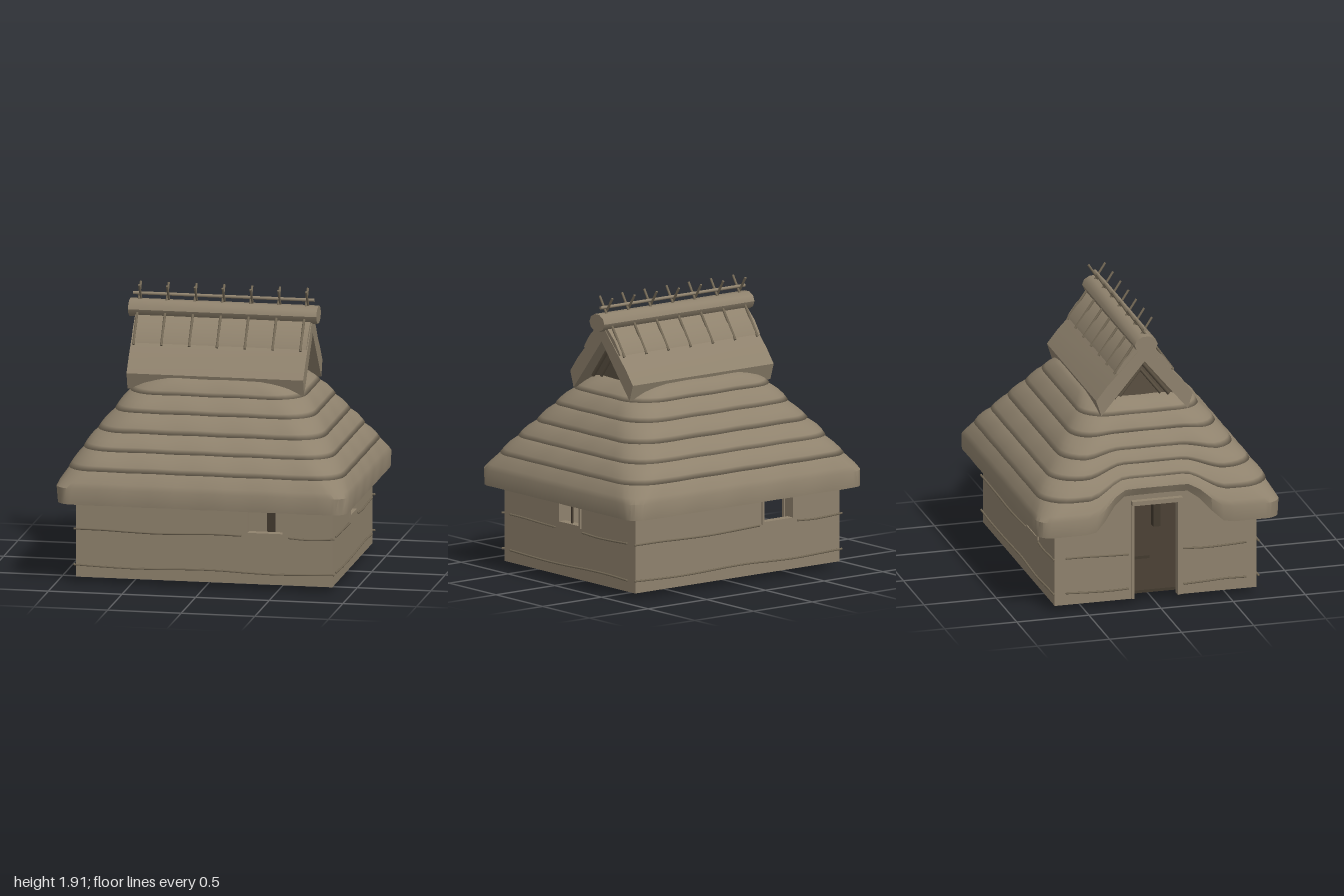
import * as THREE from 'three';
import { toCreasedNormals } from 'three/addons/utils/BufferGeometryUtils.js';

function material(name, color) {
  const m = new THREE.MeshStandardMaterial({ color, side: THREE.DoubleSide });
  m.name = name;
  return m;
}
const straw = material('weathered straw brown', 0x8f826d);
const pole = material('aged pole brown', 0x756a57);
const shade = material('smoky gable brown', 0x5a5041);
const dark = material('dark timber', 0x433a2f);

function add(parent, geometry, name, x = 0, y = 0, z = 0, mat = straw) {
  const mesh = new THREE.Mesh(geometry, mat);
  mesh.name = name;
  mesh.position.set(x, y, z);
  parent.add(mesh);
  return mesh;
}

const box = (parent, name, w, h, d, x, y, z, mat) => add(parent, new THREE.BoxGeometry(w, h, d), name, x, y, z, mat);

// Straight round stick between two points
function stick(parent, name, a, b, r, mat) {
  const from = new THREE.Vector3(...a), to = new THREE.Vector3(...b);
  const dir = to.clone().sub(from);
  const mesh = add(parent, new THREE.CylinderGeometry(r, r, dir.length(), 8), name, 0, 0, 0, mat);
  mesh.position.copy(from).add(to).multiplyScalar(0.5);
  mesh.quaternion.setFromUnitVectors(new THREE.Vector3(0, 1, 0), dir.normalize());
}

// Slightly crooked horizontal pole along local x
function rail(parent, x0, x1, y, z, seed) {
  const points = [];
  const n = Math.max(3, Math.round((x1 - x0) / 0.2));
  for (let i = 0; i <= n; i++) {
    points.push(new THREE.Vector3(x0 + (x1 - x0) * i / n, y + 0.006 * Math.sin(i * 1.3 + seed), z + 0.002 * Math.sin(i * 2.1)));
  }
  add(parent, new THREE.TubeGeometry(new THREE.CatmullRomCurve3(points), n * 4, 0.007, 6), 'wallRail', 0, 0, 0, pole);
  for (const p of [points[0], points[n]]) add(parent, new THREE.SphereGeometry(0.008, 6, 4), 'railEnd', p.x, p.y, p.z, pole);
}

// Rounded rectangle in plan, evenly divided so that rings can be joined
function ring(hx, hz, r, y) {
  const corners = [[1, 1], [-1, 1], [-1, -1], [1, -1]];
  const arcs = corners.map(([sx, sz], q) => {
    const arc = [];
    for (let k = 0; k <= 6; k++) {
      const a = (q + k / 6) * Math.PI / 2;
      arc.push([sx * (hx - r) + r * Math.cos(a), sz * (hz - r) + r * Math.sin(a)]);
    }
    return arc;
  });
  const out = [];
  arcs.forEach((arc, q) => {
    out.push(...arc);
    const a = arc[6], b = arcs[(q + 1) % 4][0];
    for (let k = 1; k < 20; k++) out.push([a[0] + (b[0] - a[0]) * k / 20, a[1] + (b[1] - a[1]) * k / 20]);
  });
  return out.map(([x, z]) => thatchPoint(x, y, z));
}

// Lifts and pulls in the thatch above the door, and adds a gentle unevenness
function thatchPoint(x, y, z) {
  const fade = Math.max(0, 1 - (y - 0.56) / 0.76);
  const near = x < -0.3 ? 1 - THREE.MathUtils.smoothstep(Math.abs(z), 0.2, 0.48) : 0;
  const wave = 0.004 * Math.sin(x * 17 + y * 9) + 0.003 * Math.sin(z * 21 + y * 13);
  const s = 1 + wave * 0.7;
  return [x * s + 0.115 * near * fade, y + wave * 0.4 + 0.21 * near * fade * fade, z * s];
}

// Joins a profile of rings; edges sharper than the crease angle stay hard
function thatchTier(parent, name, profile, crease) {
  const rings = profile.map(([hx, hz, r, y]) => ring(hx, hz, r, y));
  const n = rings[0].length, index = [];
  for (let i = 0; i < rings.length - 1; i++) {
    for (let j = 0; j < n; j++) {
      const a = i * n + j, b = i * n + (j + 1) % n;
      index.push(a, a + n, b, b, a + n, b + n);
    }
  }
  const g = new THREE.BufferGeometry();
  g.setAttribute('position', new THREE.Float32BufferAttribute(rings.flat(2), 3));
  g.setIndex(index);
  add(parent, toCreasedNormals(g, crease), name);
}

// Cross-section given as [z, y] points, drawn out along x
function alongX(points, length) {
  const shape = new THREE.Shape(points.map(p => new THREE.Vector2(...p)));
  return new THREE.ExtrudeGeometry(shape, { depth: length, bevelEnabled: false })
    .translate(0, 0, -length / 2).rotateY(Math.PI / 2);
}

// One wall with its opening, frame and rails; local +z points outwards
function wall(parent, name, angle, half, dist, railHalf, open) {
  const side = new THREE.Group();
  side.name = name;
  side.rotation.y = angle;
  parent.add(side);
  const { x0, x1, y0, y1, door } = open;
  const shape = new THREE.Shape();
  if (door) {
    const outline = [[-half, 0.04], [x0, 0.04], [x0, y1], [x1, y1], [x1, 0.04], [half, 0.04], [half, 0.8], [-half, 0.8]];
    shape.setFromPoints(outline.map(p => new THREE.Vector2(...p)));
  } else {
    shape.moveTo(-half, 0.04).lineTo(half, 0.04).lineTo(half, 0.8).lineTo(-half, 0.8).closePath();
    shape.holes.push(new THREE.Path([[x0, y0], [x0, y1], [x1, y1], [x1, y0]].map(p => new THREE.Vector2(...p))));
  }
  const panel = new THREE.ExtrudeGeometry(shape, { depth: 0.04, bevelEnabled: false });
  add(side, panel, 'wallPanel', 0, 0, dist - 0.04);
  // Frame around the opening
  const mid = (x0 + x1) / 2, f = 0.018, bottom = door ? 0.04 : y0;
  for (const x of [x0 - f / 2, x1 + f / 2]) box(side, 'framePost', f, y1 - bottom, 0.06, x, (y1 + bottom) / 2, dist - 0.02);
  if (door) box(side, 'doorLintel', 0.35, 0.03, 0.04, mid, y1 + 0.015, dist + 0.03);
  else {
    for (const y of [y0 - f / 2, y1 + f / 2]) box(side, 'frameBar', x1 - x0 + 2 * f, f, 0.06, mid, y, dist - 0.02);
    if (open.bar) box(side, 'windowBar', 0.01, y1 - y0, 0.01, mid, (y0 + y1) / 2, dist - 0.02, dark);
  }
  // Rails stop short of the opening
  const z = dist + 0.01;
  rail(side, -railHalf, x0 - 0.045, 0.365, z, 1);
  rail(side, x1 + 0.045, railHalf, 0.365, z, 3);
  if (door) {
    rail(side, -railHalf, x0 - 0.045, 0.12, z, 2);
    rail(side, x1 + 0.045, railHalf, 0.12, z, 5);
  } else rail(side, -railHalf, railHalf, 0.12, z, 2);
}

export function createModel() {
  const model = new THREE.Group();
  model.name = 'thatchedHouse';

  // Walls
  const walls = new THREE.Group();
  walls.name = 'walls';
  model.add(walls);
  wall(walls, 'frontWall', 0, 0.87, 0.7, 0.88, { x0: 0.295, x1: 0.535, y0: 0.39, y1: 0.6 });
  wall(walls, 'backWall', Math.PI, 0.87, 0.7, 0.88, { x0: 0.225, x1: 0.465, y0: 0.39, y1: 0.6 });
  wall(walls, 'leftWall', Math.PI / 2, 0.66, 0.87, 0.62, { x0: -0.105, x1: 0.105, y0: 0.405, y1: 0.6, bar: true });
  wall(walls, 'rightWall', -Math.PI / 2, 0.66, 0.87, 0.62, { x0: -0.15, x1: 0.15, y1: 0.71, door: true });

  // Floor, hearth and inner timber frame
  box(model, 'floor', 1.66, 0.02, 1.32, 0, 0.07, 0, dark);
  box(model, 'hearth', 0.52, 0.1, 0.28, 0.03, 0.05, 0, dark);
  for (const z of [-0.36, 0.36]) {
    for (const x of [-0.388, 0.388]) box(model, 'innerColumn', 0.05, 0.72, 0.05, x, 0.44, z, dark);
    box(model, 'innerBeam', 1.6, 0.05, 0.05, 0, 0.72, z, dark);
  }

  // Stepped thatch: a thick eave, then overlapping tiers
  const roof = new THREE.Group();
  roof.name = 'thatchRoof';
  model.add(roof);
  thatchTier(roof, 'eave', [
    [0.84, 0.67, 0.06, 0.58], [0.985, 0.835, 0.1, 0.56], [0.995, 0.843, 0.12, 0.67],
    [0.98, 0.825, 0.14, 0.705], [0.925, 0.77, 0.18, 0.79], [0.88, 0.72, 0.18, 0.82]], 0.75);
  const tiers = [[0.94, 0.79, 0.78], [0.855, 0.7, 0.9], [0.775, 0.605, 1.01], [0.69, 0.51, 1.13], [0.605, 0.418, 1.24], [0.46, 0.335, 1.34]];
  for (let i = 0; i < 5; i++) {
    const [x, z, y] = tiers[i], [nx, nz, ny] = tiers[i + 1];
    const last = i === 4, extra = last ? 0 : 0.016, r = 0.2;
    const runX = x - nx + extra, runZ = z - nz + extra, h = ny - y;
    const profile = [[x - 0.07, z - 0.07, r - 0.05, y + 0.015]];
    for (const [u, v] of [[0, 0], [0.18, 0.27], [0.42, 0.55], [0.7, 0.79], [1, 1]]) {
      profile.push([x - runX * u, z - runZ * u, r, y + h * v]);
    }
    profile.push(last ? [0.01, 0.01, 0.005, ny] : [x - runX - 0.05, z - runZ - 0.05, r - 0.04, ny + 0.015]);
    thatchTier(roof, 'thatchTier', profile, 2.8);
  }

  // Gabled ridge roof, its thicker cap and the recessed gable ends
  const ridge = new THREE.Group();
  ridge.name = 'ridge';
  model.add(ridge);
  const slab = [[0, 1.61], [0.3, 1.25], [0.335, 1.36], [0.26, 1.455], [0.165, 1.555], [0, 1.73]];
  const cap = [[0, 1.65], [0.165, 1.535], [0.195, 1.54], [0.185, 1.56], [0.135, 1.63], [0.06, 1.7], [0, 1.73]];
  const mirrored = half => [...half, ...half.slice(1, -1).reverse().map(([z, y]) => [-z, y])];
  add(ridge, toCreasedNormals(alongX(mirrored(slab), 1.2), 0.4), 'ridgeRoof');
  add(ridge, toCreasedNormals(alongX(mirrored(cap), 1.19), 1.4), 'ridgeCap');
  for (const s of [-1, 1]) {
    add(ridge, alongX([[-0.25, 1.31], [0.25, 1.31], [0, 1.61]], 0.02), 'gableWall', s * 0.46, 0, 0, shade);
    for (const m of [-1, 1]) {
      stick(ridge, 'gableRafter', [s * 0.52, 1.34, m * 0.19], [s * 0.52, 1.58, 0], 0.013, shade);
      stick(ridge, 'gableBrace', [s * 0.49, 1.34, m * 0.14], [s * 0.49, 1.52, 0], 0.01, shade);
    }
  }

  // Ridge log, upper rail and crossed sticks
  const log = new THREE.CylinderGeometry(0.08, 0.08, 1.28, 10).rotateZ(Math.PI / 2).scale(1, 0.76, 1);
  add(ridge, toCreasedNormals(log, 0.8), 'ridgeLog', 0, 1.74, 0);
  stick(ridge, 'upperRail', [-0.62, 1.838, 0], [0.61, 1.838, 0], 0.011, straw);
  for (let i = -3; i <= 3; i++) {
    for (const m of [-1, 1]) {
      const x = i * 0.189 - 0.006 + m * 0.006;
      stick(ridge, 'crossedStick', [x, 1.905, m * 0.06], [x, 1.76, m * -0.034], 0.008, pole);
      stick(ridge, 'ridgeBinder', [x, 1.72, m * -0.07], [x, 1.53, m * -0.203], 0.009, pole);
    }
  }
  return model;
}
